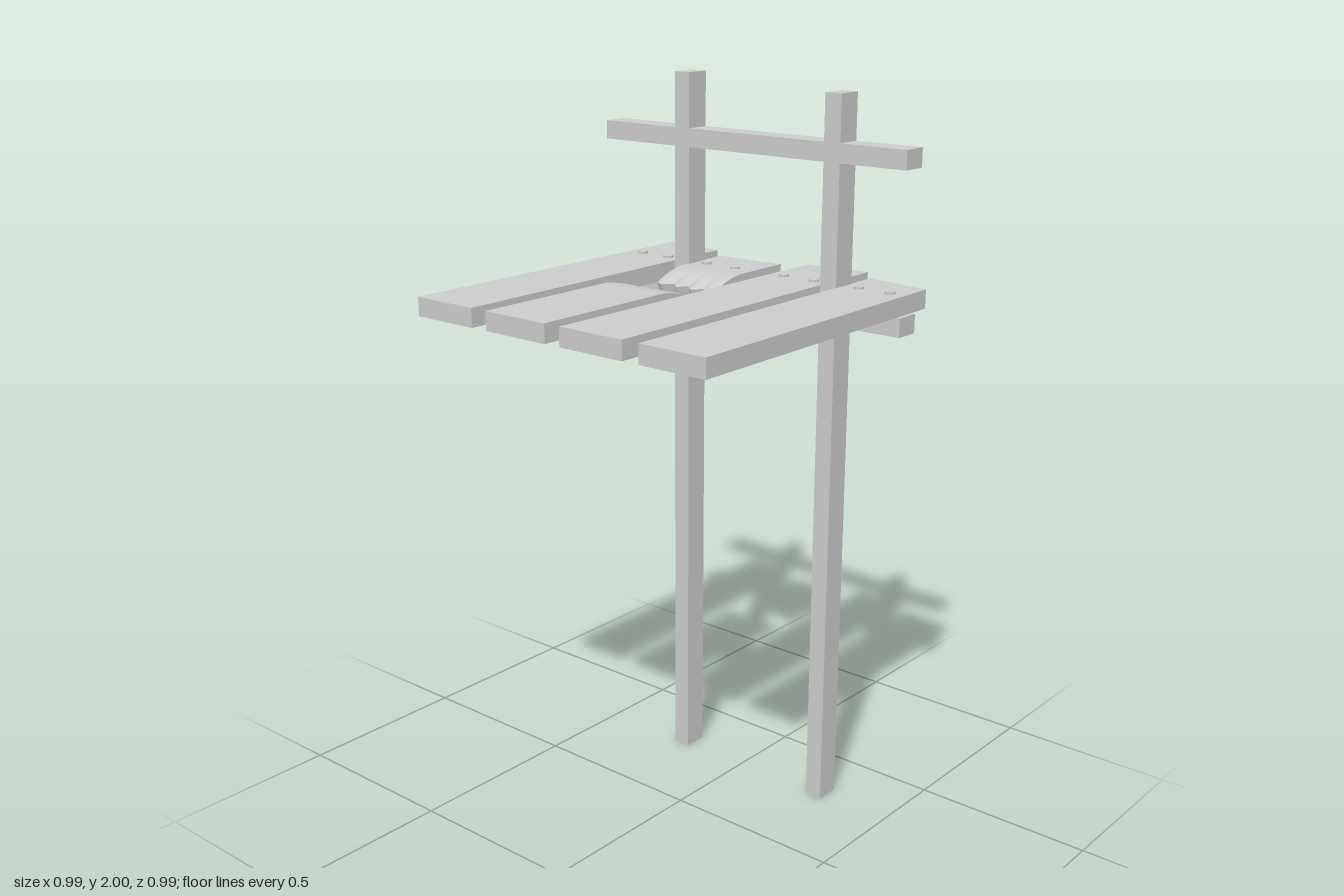
import * as THREE from 'three';

const grey = new THREE.MeshStandardMaterial({ color: 0xcccccc, flatShading: true });
const BOTTOM = 1.435, THICK = 0.05, BEAM_X = 0.3;

function add(group, name, geometry, x = 0, y = 0, z = 0) {
  const mesh = new THREE.Mesh(geometry, grey);
  mesh.name = name;
  mesh.position.set(x, y, z);
  group.add(mesh);
}

// Flat plank from its corners in plan, given as [x, z]
function plank(corners) {
  const shape = new THREE.Shape(corners.map(([x, z]) => new THREE.Vector2(x, -z)));
  return new THREE.ExtrudeGeometry(shape, { depth: THICK, bevelEnabled: false }).rotateX(-Math.PI / 2);
}

// Half of the snapped plank: straight from its sound end to bendX, then
// sagging to a jagged tip. dir is +1 when the tip points to +x.
function brokenPlank(dir, soundEnd, bendX, tipX) {
  const steps = 7, teeth = 8, zBack = -0.2, zFront = 0;
  const geo = new THREE.BoxGeometry(1, 1, 1, steps, 1, teeth);
  const p = geo.attributes.position;
  for (let k = 0; k < p.count; k++) {
    const v = p.getZ(k) + 0.5;
    const row = Math.round(v * teeth);
    const i = Math.round((dir * p.getX(k) + 0.5) * steps);
    const jag = row === 0 || row === teeth ? 0 : (row % 2 ? 0.012 : -0.012);
    const t = Math.max(0, (i - 1) / (steps - 1));
    const x = i === 0 ? soundEnd(v) : THREE.MathUtils.lerp(bendX, tipX + dir * jag, t);
    const isBottom = p.getY(k) < 0;
    const y = (isBottom ? 0 : THICK) - 0.032 * t * t;
    p.setXYZ(k, x - (isBottom ? dir * 0.016 * t : 0), y, THREE.MathUtils.lerp(zBack, zFront, v));
  }
  geo.computeVertexNormals();
  return geo;
}

export function createModel() {
  const model = new THREE.Group();
  model.name = 'brokenPlatform';

  // Upright posts, the front one slightly shorter
  for (const [name, z, h] of [['frontPost', 0.273, 1.975], ['backPost', -0.22, 2]]) {
    add(model, name, new THREE.BoxGeometry(0.07, h, 0.05), BEAM_X, h / 2, z);
  }

  // Handrail and the beam under the planks
  for (const [name, y] of [['handrail', 1.828], ['supportBeam', 1.41]]) {
    add(model, name, new THREE.BoxGeometry(0.07, 0.05, 0.99), BEAM_X, y, 0);
  }

  // Whole planks with crooked ends
  const planks = [
    ['backPlank', [[-0.495, -0.445], [0.49, -0.445], [0.472, -0.26], [-0.495, -0.25]]],
    ['middlePlank', [[-0.495, 0.048], [0.472, 0.06], [0.49, 0.245], [-0.495, 0.245]]],
    ['frontPlank', [[-0.495, 0.295], [0.427, 0.295], [0.403, 0.482], [-0.495, 0.49]]],
  ];
  for (const [name, corners] of planks) add(model, name, plank(corners), 0, BOTTOM, 0);

  // Snapped plank
  add(model, 'brokenPlankLong', brokenPlank(1, () => -0.495, -0.08, 0.043), 0, BOTTOM, 0);
  add(model, 'brokenPlankShort', brokenPlank(-1, (v) => 0.41 + 0.017 * v, 0.26, 0.139), 0, BOTTOM, 0);

  // Pairs of nail heads above the beam
  for (const z of [0.44, 0.345, 0.203, 0.105, -0.06, -0.16, -0.3, -0.395]) {
    add(model, 'nailHead', new THREE.CylinderGeometry(0.014, 0.014, 0.012, 8), BEAM_X, BOTTOM + THICK, z);
  }
  return model;
}
